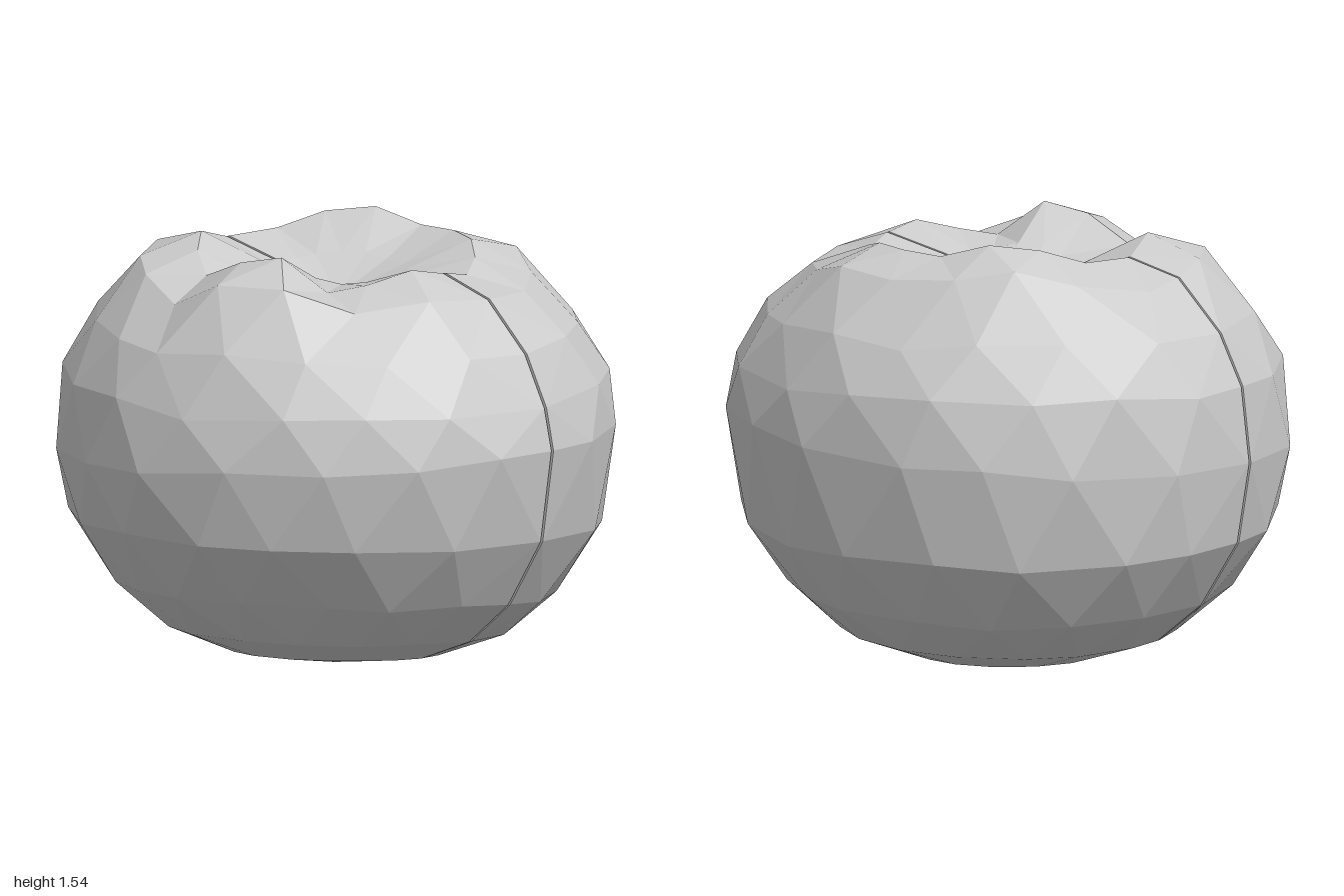
import * as THREE from 'three';

// Profile from the base pole, round the belly, over the rim and into the top dimple: [radius, height]
const PROFILE = [
  [0, 0], [0.4, 0.05], [0.62, 0.13], [0.8, 0.28], [0.95, 0.52], [1, 0.83],
  [0.967, 1.04], [0.877, 1.22], [0.705, 1.39], [0.5, 1.43], [0.26, 1.39], [0, 1.31],
];
// Bumps and creases on the shoulder: [x, z, height, spread]
const LOBES = [
  [-0.48, 0.1, 0.12, 0.25], [0.46, -0.3, 0.13, 0.24], [0.46, 0.25, 0.08, 0.22],
  [-0.15, 0.45, 0.07, 0.17], [-0.25, -0.52, 0.1, 0.22],
  [-0.32, 0.29, -0.08, 0.14], [-0.3, -0.17, -0.07, 0.14], [-0.58, -0.21, -0.09, 0.13],
];
const SEGMENTS = 9; // facets round each half
const CUT_X = -0.005;
const HALF_GAP = 0.006;

// Repeatable value in -1..1
function noise(a, b, c) {
  const s = Math.sin(a * 127.1 + b * 311.7 + c * 74.7) * 43758.5453;
  return 2 * (s - Math.floor(s)) - 1;
}

// Surface point on ring i, step j of one half (side is +1 or -1)
function surfacePoint(i, j, side) {
  let [r, y] = PROFILE[i];
  const onCut = j === 0 || j === SEGMENTS;
  const pole = i === 0 || i === PROFILE.length - 1;
  let step = j;
  if (!onCut && !pole) {
    const amount = Math.min(1, r * r * 2); // calmer inside the dimple
    step += (i % 2 ? 0.22 : -0.22) + 0.16 * noise(i, j, side);
    y += 0.02 * noise(i, j, side + 5) * Math.min(1, y * 2) * amount;
    r *= 1 + 0.006 * noise(i, j, side + 9) * amount;
  }
  const phi = (step / SEGMENTS - 0.5) * Math.PI;
  const across = onCut ? 0 : Math.cos(phi);
  const corner = Math.sin(2 * phi); // +1 front corner, -1 back corner
  r *= 1 + 0.012 * across;
  if (side < 0) r *= 1 - 0.035 * Math.max(0, corner); // flatter front right corner
  if (y < 0.4 || y > 1.13) r *= 1 - 0.02 * corner * corner;
  const x = side * r * across * 0.95;
  const z = r * Math.sin(phi);
  if (y < 0.6) y += 0.04 * z - 0.07 * x; // the base leans slightly
  else if (y < 0.95) y += 0.06 * z; // the widest ring dips at the back
  if (y > 1.15 && r > 0.05) {
    for (const [lx, lz, h, s] of LOBES) {
      y += h * Math.exp(-((x - lx) ** 2 + (z - lz) ** 2) / (s * s));
    }
  }
  return new THREE.Vector3(CUT_X + side * HALF_GAP + x, Math.max(y, 0), z);
}

function halfGeometry(side) {
  const positions = [];
  const tri = (a, b, c) => {
    const corners = side > 0 ? [a, b, c] : [a, c, b];
    corners.forEach((p) => positions.push(p.x, p.y, p.z));
  };
  const last = PROFILE.length - 1;
  const rings = PROFILE.map((_, i) =>
    Array.from({ length: SEGMENTS + 1 }, (_, j) => surfacePoint(i, j, side)));

  // Faceted skin, with diagonals alternating to follow the staggered rings
  for (let i = 0; i < last; i++) {
    for (let j = 0; j < SEGMENTS; j++) {
      const a = rings[i][j], b = rings[i + 1][j];
      const c = rings[i][j + 1], d = rings[i + 1][j + 1];
      if (i === 0) tri(a, b, d);
      else if (i === last - 1) tri(a, b, c);
      else if (i % 2) { tri(a, b, d); tri(a, d, c); }
      else { tri(a, b, c); tri(b, d, c); }
    }
  }

  // Flat cut face
  const centre = new THREE.Vector3(CUT_X + side * HALF_GAP, 0.7, 0);
  for (let i = 0; i < last; i++) {
    tri(centre, rings[i + 1][0], rings[i][0]);
    tri(centre, rings[i][SEGMENTS], rings[i + 1][SEGMENTS]);
  }

  const geometry = new THREE.BufferGeometry();
  geometry.setAttribute('position', new THREE.Float32BufferAttribute(positions, 3));
  geometry.computeVertexNormals();
  return geometry;
}

export function createModel() {
  const fruit = new THREE.Group();
  fruit.name = 'slicedFruit';
  const skin = new THREE.MeshStandardMaterial({ color: 0xcccccc, flatShading: true });
  for (const [name, side] of [['leftHalf', 1], ['rightHalf', -1]]) {
    const half = new THREE.Mesh(halfGeometry(side), skin);
    half.name = name;
    fruit.add(half);
  }
  return fruit;
}
